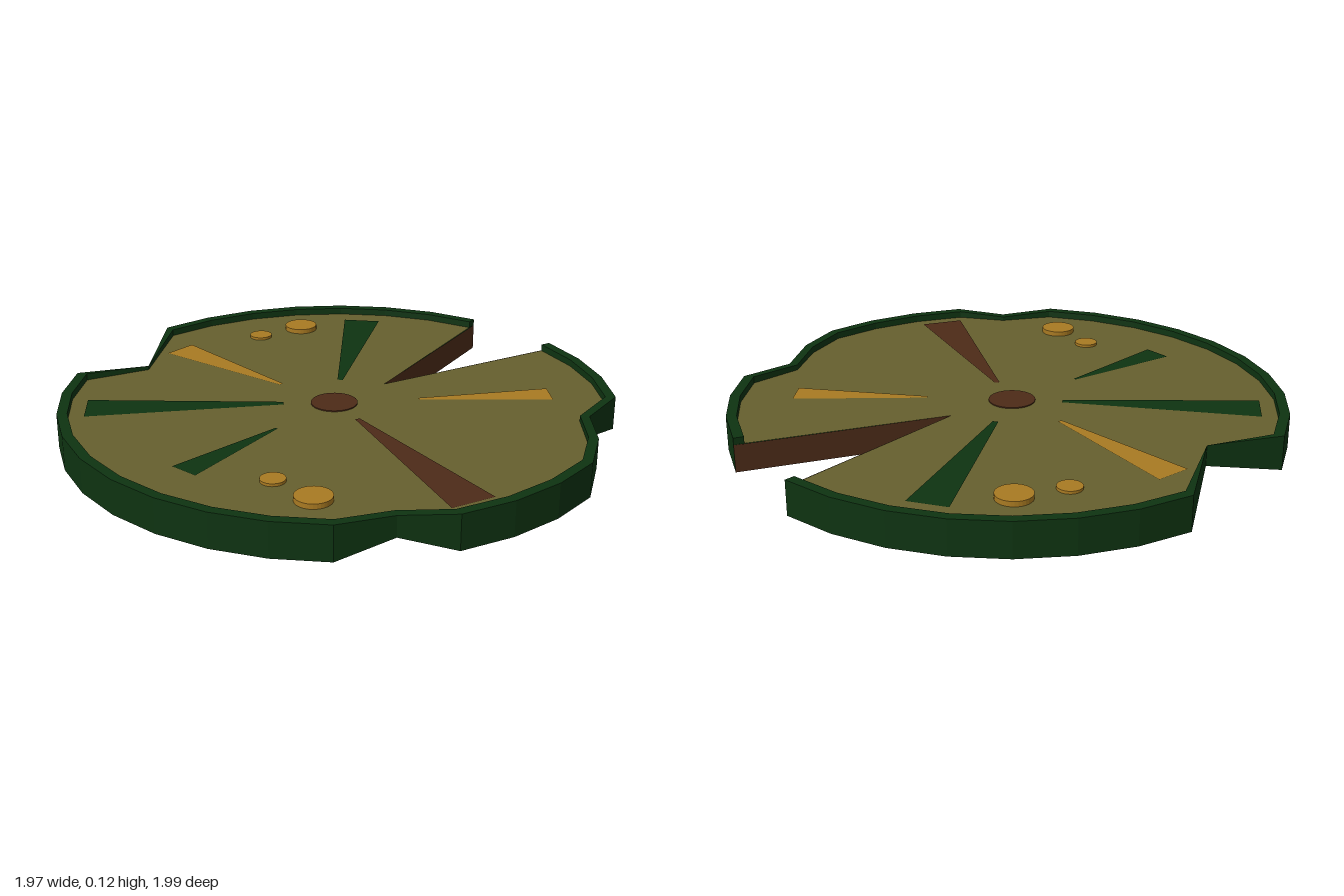
import * as THREE from 'three';

const SURFACE = 0.1, RIM = 0.125;
const COLORS = { pad: 0x66602e, green: 0x0e3311, brown: 0x4d2b18, orange: 0xa97a22 };

const material = (name) => new THREE.MeshStandardMaterial({
  color: COLORS[name], flatShading: true, side: THREE.DoubleSide,
});

// Builds a mesh from a list of triangles and quads given as corner arrays
function facesMesh(name, color, faces) {
  const pos = [];
  for (const [a, b, c, d] of faces) {
    pos.push(...a, ...b, ...c);
    if (d) pos.push(...a, ...c, ...d);
  }
  const g = new THREE.BufferGeometry();
  g.setAttribute('position', new THREE.Float32BufferAttribute(pos, 3));
  g.computeVertexNormals();
  const mesh = new THREE.Mesh(g, material(color));
  mesh.name = name;
  return mesh;
}

// Pad outline: a 32-sided circle, open at the wedge, with three torn nicks.
// Each nick replaces circle points: [x, z, raised bottom, top, rim scale]
function outline() {
  const nicks = {
    5: [0.5, 0.74, 0.04, 0.12],
    6: [0.36, 0.88, 0.015, RIM],
    11: [-0.51, 0.78, 0.04, 0.115],
    21: [-0.55, -0.83, 0, RIM],
    22: [-0.3, -0.725, 0.04, 0.115, 1],
  };
  const pts = [];
  for (let i = 1; i <= 31; i++) {
    if (i === 23) continue;
    const a = (i * Math.PI) / 16;
    const [x, z, low = 0, top = RIM, s = 0.963] =
      nicks[i] || [Math.cos(a) * 0.993, Math.sin(a) * 0.997];
    pts.push({
      bottom: [x, low, z],
      top: [x, top, z],
      inTop: [x * s, top, z * s],
      inLow: [x * s, SURFACE, z * s],
    });
  }
  return pts;
}

export function createModel() {
  const root = new THREE.Group();
  root.name = 'lilyPad';
  const pts = outline();
  const tipLow = [0.24, 0, 0], tipTop = [0.24, SURFACE, 0];

  // Leaf surface, raised rim and underside
  const surface = [], rim = [], underside = [];
  for (let i = 0; i < pts.length - 1; i++) {
    const p = pts[i], q = pts[i + 1];
    surface.push([tipTop, q.inLow, p.inLow]);
    underside.push([tipLow, p.bottom, q.bottom]);
    rim.push([p.bottom, p.top, q.top, q.bottom]);
    rim.push([p.top, p.inTop, q.inTop, q.top]);
    rim.push([p.inTop, p.inLow, q.inLow, q.inTop]);
  }

  // Cut walls of the wedge, with the rim ends above them
  const walls = [];
  const first = pts[0], last = pts[pts.length - 1];
  for (const [p, flip] of [[first, false], [last, true]]) {
    const edge = [p.top[0], SURFACE, p.top[2]];
    const wall = [tipLow, tipTop, edge, p.bottom];
    const end = [p.inLow, p.inTop, p.top, edge];
    walls.push(flip ? wall.reverse() : wall);
    rim.push(flip ? end.reverse() : end);
  }
  root.add(
    facesMesh('leafSurface', 'pad', surface),
    facesMesh('rim', 'green', rim),
    facesMesh('underside', 'green', underside),
    facesMesh('wedgeWalls', 'brown', walls),
  );

  // Tapered veins: inner end, outer end, inner width, outer width
  const veins = [
    ['green', -0.156, -0.118, -0.692, -0.572, 0.024, 0.15],
    ['orange', -0.04, -0.26, -0.08, -0.813, 0.016, 0.127],
    ['green', 0.146, -0.138, 0.675, -0.552, 0.02, 0.143],
    ['green', -0.323, 0.03, -0.762, 0.074, 0.01, 0.106],
    ['orange', 0.222, 0.19, 0.598, 0.492, 0.014, 0.106],
    ['brown', -0.066, 0.166, -0.262, 0.868, 0.018, 0.16],
  ];
  for (const [color, x0, z0, x1, z1, w0, w1] of veins) {
    const len = Math.hypot(x1 - x0, z1 - z0);
    const nx = -(z1 - z0) / len / 2, nz = (x1 - x0) / len / 2;
    const y = SURFACE + 0.003;
    root.add(facesMesh('vein', color, [[
      [x0 + nx * w0, y, z0 + nz * w0],
      [x1 + nx * w1, y, z1 + nz * w1],
      [x1 - nx * w1, y, z1 - nz * w1],
      [x0 - nx * w0, y, z0 - nz * w0],
    ]]));
  }

  // Round heart of the leaf and its raised spots
  const discs = [
    ['centre', 'brown', -0.018, 0, 0.084, 0.004],
    ['smallSpot', 'orange', 0.249, -0.704, 0.043, 0.01],
    ['largeSpot', 'orange', 0.43, -0.661, 0.063, 0.018],
    ['smallSpot', 'orange', -0.6, 0.323, 0.043, 0.01],
    ['largeSpot', 'orange', -0.6, 0.511, 0.063, 0.018],
  ];
  for (const [name, color, x, z, r, h] of discs) {
    const disc = new THREE.Mesh(new THREE.CylinderGeometry(r, r, h, 32), material(color));
    disc.name = name;
    disc.position.set(x, SURFACE + h / 2, z);
    root.add(disc);
  }
  return root;
}
